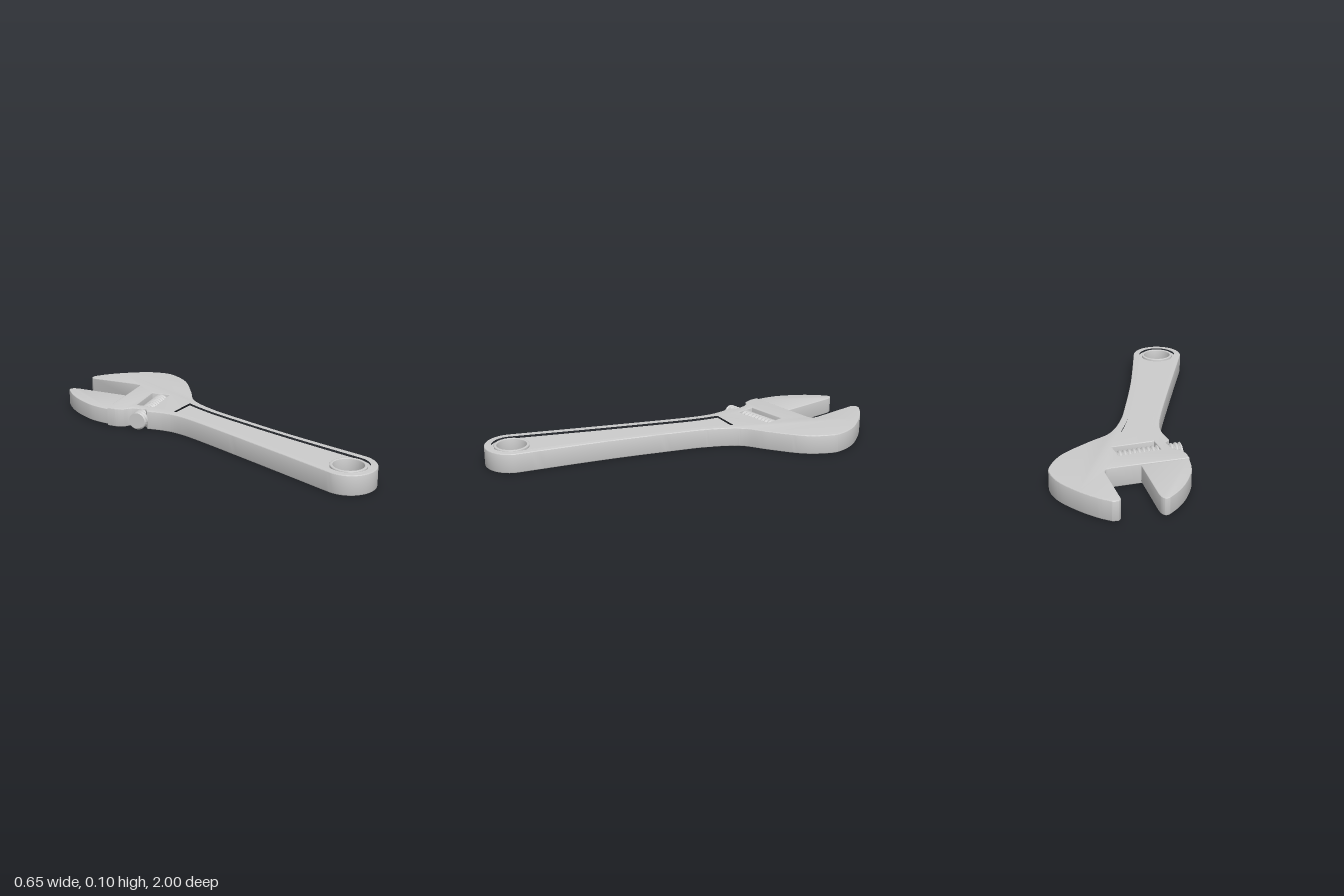
import * as THREE from 'three';
import { toCreasedNormals } from 'three/addons/utils/BufferGeometryUtils.js';

const material = new THREE.MeshStandardMaterial({ color: 0xcccccc });
const END = { x: -0.015, z: 0.862 };   // centre of the hanging hole
const SLOT = { x: -0.05, z: -0.45 };   // centre of the screw window
const TILT = 0.45;                     // slope of the jaw slide and screw
const THICK = 0.1;

// Plan coordinates are (x, z); shapes use y = -z.
const v = ([x, z]) => new THREE.Vector2(x, -z);
const lines = (s, pts) => pts.forEach(([x, z]) => s.lineTo(x, -z));
const curve = (s, pts) => s.splineThru(pts.map(v));
const start = (s, [x, z]) => s.moveTo(x, -z);

function circle(r, Type = THREE.Path) {
  const p = new Type();
  p.absarc(END.x, -END.z, r, 0, Math.PI * 2);
  return p;
}

// Extrude a plan shape upwards between two heights with softened edges.
function slab(name, shape, y0, y1, bevel) {
  const geo = new THREE.ExtrudeGeometry(shape, {
    depth: y1 - y0 - 2 * bevel, curveSegments: 12, bevelEnabled: bevel > 0,
    bevelThickness: bevel, bevelSize: bevel, bevelOffset: -bevel, bevelSegments: 3,
  });
  geo.rotateX(-Math.PI / 2);
  geo.translate(0, y0 + bevel, 0);
  const mesh = new THREE.Mesh(toCreasedNormals(geo, 0.6), material);
  mesh.name = name;
  return mesh;
}

// Outer outline of fixed jaw, head and handle
function bodyOutline() {
  const s = new THREE.Shape();
  start(s, [-0.09, -0.62]);
  lines(s, [[0.045, -0.681]]);
  curve(s, [[0.061, -0.697], [0.061, -0.725]]);
  lines(s, [[-0.044, -0.97]]);
  curve(s, [[-0.037, -0.992], [-0.01, -1.0]]);
  curve(s, [[0.06, -0.975], [0.15, -0.925], [0.25, -0.848], [0.308, -0.765], [0.322, -0.69],
    [0.29, -0.56], [0.19, -0.41], [0.115, -0.315], [0.085, -0.235], [0.07, -0.12], [0.068, 0],
    [0.082, 0.4], [END.x + 0.135, END.z]]);
  s.absarc(END.x, -END.z, 0.135, 0, -Math.PI, true);
  curve(s, [[-0.135, 0.4], [-0.125, 0], [-0.13, -0.16], [-0.152, -0.25], [-0.195, -0.335]]);
  lines(s, [[-0.18, -0.365]]);
  curve(s, [[-0.2, -0.405], [-0.228, -0.436], [-0.262, -0.445]]);
  curve(s, [[-0.288, -0.48], [-0.306, -0.525]]);
  s.closePath();
  return s;
}

// Sunken field of the handle
function recessOutline(Type) {
  const s = new Type();
  start(s, [-0.106, -0.235]);
  lines(s, [[0.052, -0.272]]);
  curve(s, [[0.042, -0.16], [0.04, 0], [0.056, 0.4], [END.x + 0.105, END.z]]);
  s.absarc(END.x, -END.z, 0.105, 0, -Math.PI, true);
  curve(s, [[-0.103, 0.4], [-0.094, 0], [-0.096, -0.13], [-0.106, -0.235]]);
  return s;
}

// Tilted rectangular window for the screw
function windowOutline() {
  const c = Math.cos(TILT), n = Math.sin(TILT);
  const pts = [[-1, -1], [1, -1], [1, 1], [-1, 1]].map(([a, b]) => {
    const t = a * 0.106, w = b * 0.051;
    return new THREE.Vector2(SLOT.x + t * c - w * n, -SLOT.z + t * n + w * c);
  });
  return new THREE.Path(pts);
}

function movableJawOutline() {
  const s = new THREE.Shape();
  start(s, [-0.09, -0.615]);
  lines(s, [[-0.2, -0.895]]);
  curve(s, [[-0.215, -0.92], [-0.235, -0.932], [-0.252, -0.922]]);
  curve(s, [[-0.287, -0.85], [-0.312, -0.765], [-0.325, -0.66], [-0.32, -0.59], [-0.304, -0.52]]);
  s.closePath();
  return s;
}

// Adjusting screw: a cylinder whose radius follows a helical thread
function adjustingScrew() {
  const from = -0.222, to = 0.105, pitch = 0.0235, length = to - from;
  const geo = new THREE.CylinderGeometry(1, 1, length, 36, 112);
  const p = geo.attributes.position;
  for (let i = 0; i < p.count; i++) {
    const x = p.getX(i), y = p.getY(i), z = p.getZ(i);
    if (Math.hypot(x, z) < 0.5) continue;
    const phase = y / pitch - Math.atan2(z, x) / (2 * Math.PI);
    const r = 0.031 + 0.015 * Math.sqrt(Math.abs(Math.sin(Math.PI * phase)));
    p.setXYZ(i, x * r, y, z * r);
  }
  geo.computeVertexNormals();
  geo.rotateZ(-Math.PI / 2);
  geo.translate((from + to) / 2, 0, 0);
  const mesh = new THREE.Mesh(geo, material);
  mesh.name = 'adjustingScrew';
  mesh.position.set(SLOT.x, THICK / 2, SLOT.z);
  mesh.rotation.y = TILT;
  return mesh;
}

export function createModel() {
  const group = new THREE.Group();
  group.name = 'adjustableWrench';

  const body = bodyOutline();
  body.holes.push(recessOutline(THREE.Path), windowOutline());
  group.add(slab('body', body, 0, THICK, 0.004));

  // Thin web of the handle, sunken on both faces
  const web = recessOutline(THREE.Shape);
  web.holes.push(circle(0.08));
  group.add(slab('handleWeb', web, 0.013, THICK - 0.013, 0));

  // Raised ring around the hanging hole
  const ring = circle(0.088, THREE.Shape);
  ring.holes.push(circle(0.074));
  group.add(slab('holeRing', ring, 0.001, THICK - 0.001, 0.003));

  group.add(slab('movableJaw', movableJawOutline(), 0.007, THICK - 0.007, 0.004));
  group.add(adjustingScrew());
  return group;
}
